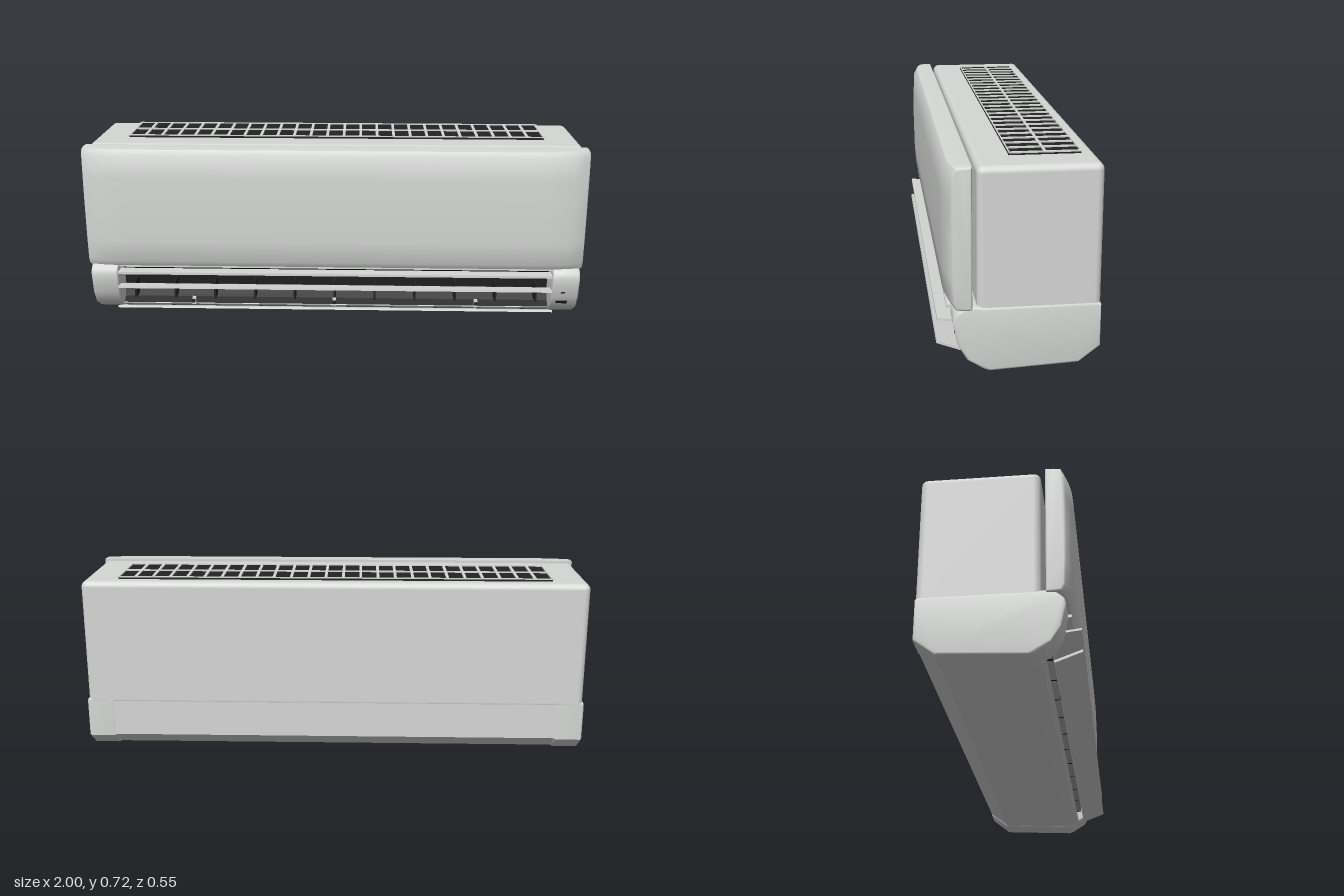
import * as THREE from 'three';
import { toCreasedNormals } from 'three/addons/utils/BufferGeometryUtils.js';
import { RoundedBoxGeometry } from 'three/addons/geometries/RoundedBoxGeometry.js';

const material = (name, color) => {
  const m = new THREE.MeshStandardMaterial({ color });
  m.name = name;
  return m;
};

// Extrudes a [z, y] profile along x from x0 to x1, with an inward bevel on both ends.
function extrudeX(points, x0, x1, bevel = 0, steps = 1) {
  const shape = new THREE.Shape(points.map(([z, y]) => new THREE.Vector2(z, y)));
  const geometry = new THREE.ExtrudeGeometry(shape, {
    depth: x1 - x0 - 2 * bevel, steps, bevelEnabled: bevel > 0,
    bevelThickness: bevel, bevelSize: bevel, bevelOffset: -bevel, bevelSegments: 3,
  });
  return geometry.rotateY(-Math.PI / 2).translate(x1 - bevel, 0, 0);
}

export function createModel() {
  const group = new THREE.Group();
  group.name = 'wallAirConditioner';
  const white = material('white plastic', 0xd6d8d6);
  const dark = material('dark interior', 0x222322);

  const add = (name, geometry, mat, x = 0, y = 0, z = 0, tilt = 0) => {
    const mesh = new THREE.Mesh(geometry, mat);
    mesh.name = name;
    mesh.position.set(x, y, z);
    mesh.rotation.x = tilt;
    group.add(mesh);
    return mesh;
  };
  const box = (name, w, h, d, mat, x, y, z, tilt) =>
    add(name, new THREE.BoxGeometry(w, h, d), mat, x, y, z, tilt);

  // Main housing
  add('housing', new RoundedBoxGeometry(1.98, 0.508, 0.42, 4, 0.024), white, 0, 0.459, -0.063);

  // Front panel, bowed back towards both ends
  const panel = extrudeX([
    [0.163, 0.225], [0.205, 0.224], [0.235, 0.229], [0.25, 0.252], [0.255, 0.34],
    [0.257, 0.47], [0.255, 0.6], [0.25, 0.69], [0.236, 0.712], [0.205, 0.716], [0.163, 0.716],
  ], -1, 1, 0.008, 40);
  const p = panel.attributes.position;
  for (let i = 0; i < p.count; i++) {
    const t = Math.max(0, (Math.abs(p.getX(i)) - 0.85) / 0.15);
    const front = Math.max(0, (p.getZ(i) - 0.163) / 0.094);
    p.setZ(i, p.getZ(i) - 0.026 * t * t * front);
  }
  add('frontPanel', toCreasedNormals(panel, 0.6), white);

  // Lower body with the air outlet cut into its front
  add('lowerBody', extrudeX([
    [0.15, 0.23], [-0.272, 0.23], [-0.272, 0.08], [-0.264, 0.074], [-0.195, 0.021],
    [0.105, 0.007], [0.14, 0.02], [0.155, 0.032], [0.09, 0.04], [0.05, 0.1],
    [0.06, 0.16], [0.13, 0.2], [0.19, 0.205], [0.19, 0.225],
  ].reverse(), -0.89, 0.89), white);
  add('outletLining', extrudeX([
    [0.13, 0.202], [0.055, 0.16], [0.045, 0.1], [0.085, 0.038], [0.15, 0.033],
    [0.12, 0.05], [0.1, 0.1], [0.11, 0.165], [0.15, 0.202],
  ], -0.886, 0.886), dark);

  // End caps either side of the outlet
  const cap = [
    [0.105, 0.002], [0.125, 0.01], [0.18, 0.045], [0.212, 0.1], [0.222, 0.15], [0.228, 0.185],
    [0.222, 0.205], [0.2, 0.225], [0.185, 0.232], [0.15, 0.236], [0.125, 0.231],
    [-0.262, 0.231], [-0.273, 0.225], [-0.273, 0.075], [-0.2, 0.018], [-0.185, 0.016],
  ];
  add('rightEndCap', toCreasedNormals(extrudeX(cap, -0.995, -0.885, 0.008), 0.7), white);
  add('leftEndCap', toCreasedNormals(extrudeX(cap, 0.885, 0.995, 0.008), 0.7), white);

  // Display window and indicator on the left cap
  box('displayWindow', 0.046, 0.016, 0.006, dark, 0.93, 0.075, 0.196, 0.57);
  box('indicator', 0.016, 0.005, 0.005, dark, 0.93, 0.122, 0.216, 0.2);

  // Outlet rail, upper vane and lower flap
  box('outletRail', 1.76, 0.01, 0.05, white, 0, 0.196, 0.215);
  box('upperVane', 1.75, 0.008, 0.055, white, 0, 0.144, 0.245, -0.12);
  box('lowerFlap', 1.76, 0.009, 0.102, white, 0, 0.047, 0.227, -0.36);

  // Vertical air guides inside the outlet
  for (let i = -5; i <= 5; i++) box('airGuide', 0.008, 0.075, 0.07, dark, i * 0.166, 0.1, 0.135);

  // Brackets carrying the flap
  for (const x of [-0.58, 0, 0.58]) {
    box('flapBracket', 0.014, 0.03, 0.018, white, x, 0.064, 0.197);
    box('flapPivot', 0.014, 0.012, 0.006, dark, x, 0.071, 0.222);
  }

  // Top intake grille
  const z0 = -0.098;
  box('intakeMesh', 1.7, 0.007, 0.245, dark, 0, 0.7165, z0);
  for (let i = 0; i <= 25; i++) {
    box('grilleCrossBar', 0.011, 0.005, 0.245, white, -0.85 + i * 0.068, 0.7225, z0);
  }
  for (const dz of [-0.121, 0, 0.121]) {
    box('grilleLongBar', 1.7, 0.005, dz ? 0.004 : 0.009, white, 0, 0.7226, z0 + dz);
  }
  return group;
}
